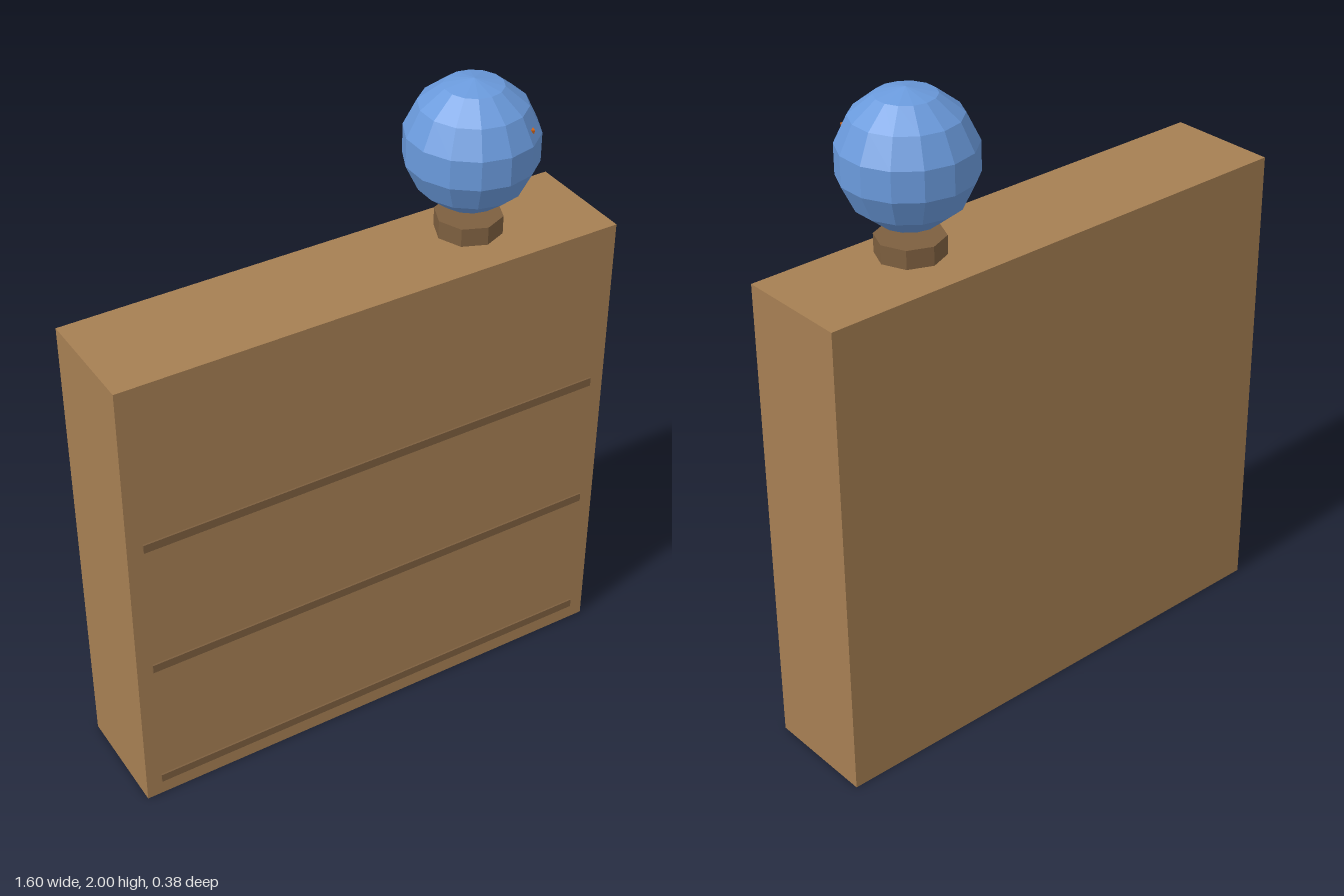
import * as THREE from 'three';

const wood = new THREE.MeshStandardMaterial({ name: 'wood', color: 0xa67f53, flatShading: true });
const darkWood = new THREE.MeshStandardMaterial({ name: 'darkWood', color: 0x7d5f3f, flatShading: true });
const blue = new THREE.MeshStandardMaterial({ name: 'blue', color: 0x6a9adc, flatShading: true });
const orange = new THREE.MeshStandardMaterial({ name: 'orange', color: 0xd0651c, flatShading: true });

export function createModel() {
  const model = new THREE.Group();
  model.name = 'cabinetWithBall';

  const add = (name, geometry, material, x, y, z) => {
    const mesh = new THREE.Mesh(geometry, material);
    mesh.name = name;
    mesh.position.set(x, y, z);
    model.add(mesh);
    return mesh;
  };

  // Solid cabinet block
  add('cabinet', new THREE.BoxGeometry(1.596, 1.502, 0.349), wood, 0, 0.751, -0.003);

  // Three thin rails across the front
  for (let i = 0; i < 3; i++) {
    add('rail' + (i + 1), new THREE.BoxGeometry(1.5, 0.028, 0.02), darkWood, 0, 0.065 + i * 0.45, 0.167);
  }

  // Eight-sided stand floating above the cabinet
  add('stand', new THREE.CylinderGeometry(0.1, 0.1, 0.056, 8), darkWood, 0.4, 1.552, 0);

  // Faceted ball, turned so a seam faces the front
  const centre = new THREE.Vector3(0.4, 1.803, 0);
  const ball = new THREE.SphereGeometry(0.197, 14, 7).rotateY(Math.PI / 2);
  add('ball', ball, blue, ...centre.toArray());

  // Small three-sided point on the ball, flat edge up
  const direction = new THREE.Vector3(0.103, 0.077, 0.148).normalize();
  const base = centre.clone().addScaledVector(direction, 0.19);
  const point = add('point', new THREE.ConeGeometry(0.019, 0.014, 3).rotateX(Math.PI / 2), orange, ...base.toArray());
  point.lookAt(base.clone().add(direction));

  return model;
}
